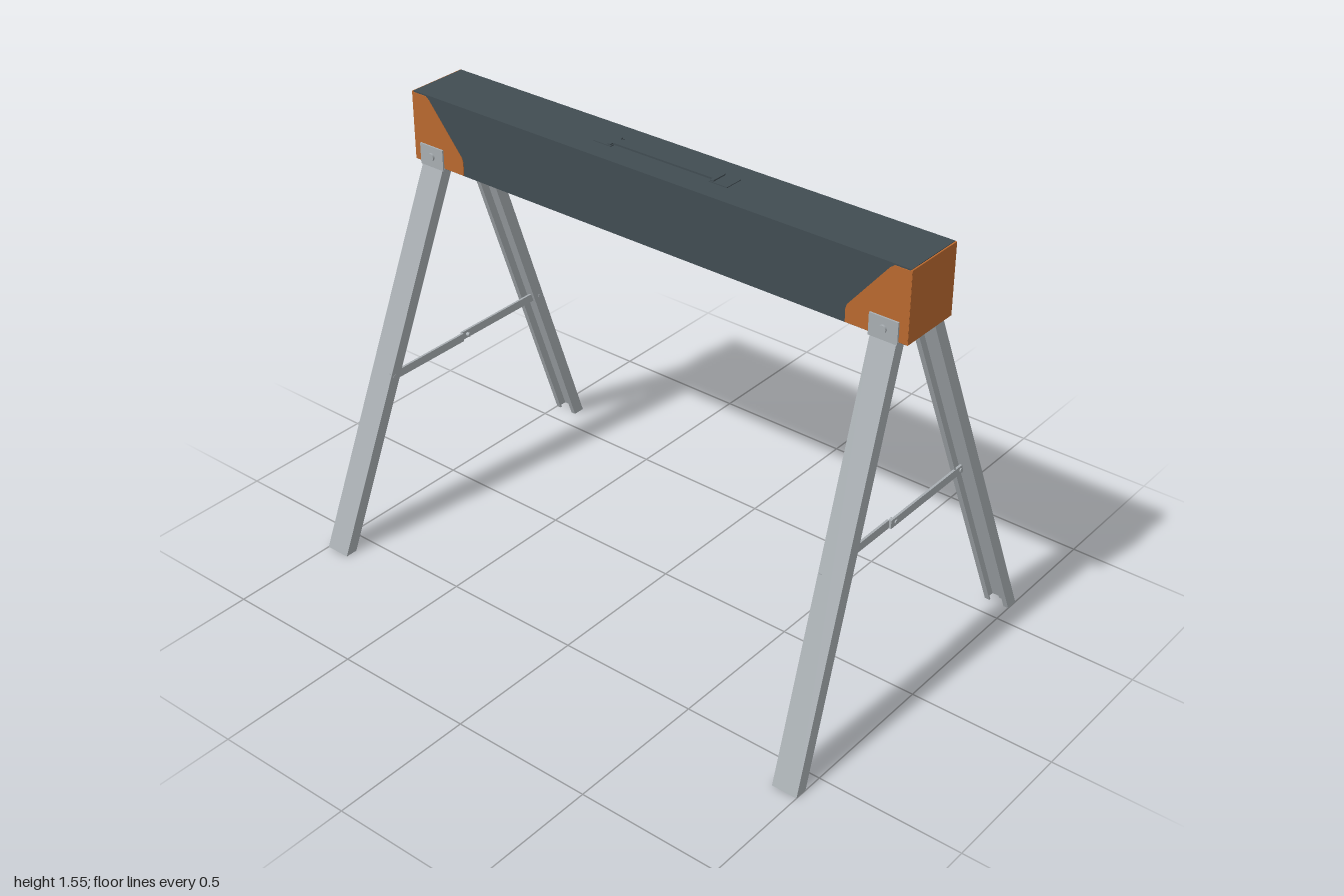
import * as THREE from 'three';

const paint = (name, color) => {
  const m = new THREE.MeshStandardMaterial({ color });
  m.name = name;
  return m;
};

export function createModel() {
  const model = new THREE.Group();
  model.name = 'sawhorse';
  const slate = paint('slate', 0x414c52);
  const orange = paint('orange', 0xb9692f);
  const steel = paint('steel', 0xa8aeb2);

  const add = (parent, name, geometry, material, x = 0, y = 0, z = 0) => {
    const mesh = new THREE.Mesh(geometry, material);
    mesh.name = name;
    mesh.position.set(x, y, z);
    parent.add(mesh);
    return mesh;
  };
  const box = (parent, name, mat, w, h, d, x, y, z) =>
    add(parent, name, new THREE.BoxGeometry(w, h, d), mat, x, y, z);
  const extrude = (points, depth) => new THREE.ExtrudeGeometry(
    new THREE.Shape(points.map(([x, y]) => new THREE.Vector2(x, y))), { depth, bevelEnabled: false });
  // mirrors half a profile across its upright axis
  const mirrored = (half) => [...half, ...half.map(([x, y]) => [-x, y]).reverse()];

  // Hollow beam, open underneath between two folded lips
  const beamProfile = mirrored([[0.11, 1.545], [0.11, 1.303], [0.058, 1.303], [0.058, 1.335],
    [0.064, 1.335], [0.064, 1.311], [0.102, 1.311], [0.102, 1.537]]);
  const beam = extrude(beamProfile, 1.92).translate(0, 0, -0.96).rotateY(Math.PI / 2);
  add(model, 'beam', beam, slate);

  // Carrying handle lying on the top
  const handle = new THREE.Group();
  handle.name = 'handle';
  model.add(handle);
  box(handle, 'handleStrap', slate, 0.4, 0.006, 0.034, 0, 1.549, 0);
  for (const s of [-1, 1]) {
    box(handle, 'handlePlate', slate, 0.07, 0.003, 0.066, s * 0.225, 1.5462, 0);
    box(handle, 'handleLoop', slate, 0.012, 0.006, 0.06, s * 0.2, 1.549, 0);
  }

  // Channel section of a leg: web outside, flanges and lips facing inwards
  const legProfile = mirrored([[0.045, 0], [0.045, 0.045], [0.027, 0.045], [0.027, 0.039],
    [0.039, 0.039], [0.039, 0.006], [0.014, 0.006], [0.009, 0.014]]);
  const legHeight = 1.305;

  function makeLeg(sx) {
    const leg = new THREE.Group();
    leg.name = 'leg';
    // upright channel, sheared so it splays in both directions
    const channel = extrude(legProfile, legHeight).rotateX(-Math.PI / 2);
    const p = channel.attributes.position;
    for (let i = 0; i < p.count; i++) {
      const t = p.getY(i) / legHeight;
      p.setX(i, p.getX(i) + sx * (0.955 - 0.07 * t));
      p.setZ(i, p.getZ(i) + 0.615 - 0.5 * t);
    }
    channel.computeVertexNormals();
    add(leg, 'legChannel', channel, steel);
    // hinge bracket wrapped round the lower edge of the beam
    const x = sx * 0.885;
    box(leg, 'bracketPlate', steel, 0.1, 0.068, 0.006, x, 1.337, 0.117);
    box(leg, 'bracketBase', steel, 0.1, 0.005, 0.07, x, 1.3005, 0.085);
    box(leg, 'bracketInside', steel, 0.1, 0.055, 0.005, x, 1.326, 0.0525);
    const bolt = new THREE.CylinderGeometry(0.013, 0.013, 0.008, 16).rotateX(Math.PI / 2);
    add(leg, 'bolt', bolt, steel, x, 1.335, 0.123);
    return leg;
  }

  for (const s of [-1, 1]) {
    // Front and back legs of this end; the back one is turned half round
    const front = makeLeg(s);
    front.name = 'frontLeg';
    const back = makeLeg(-s);
    back.name = 'backLeg';
    back.rotation.y = Math.PI;
    model.add(front, back);

    // Orange end cap and its two slanted cheeks
    const cap = new THREE.Group();
    cap.name = 'endCap';
    model.add(cap);
    box(cap, 'endPlate', orange, 0.006, 0.238, 0.224, s * 0.962, 1.424, 0);
    const outline = [[0.964, 1.305], [0.964, 1.54], [0.905, 1.54], [0.89, 1.528], [0.755, 1.365],
      [0.75, 1.35], [0.75, 1.305]].map(([x, y]) => [s * x, y]);
    for (const z of [0.1085, -0.1125])
      add(cap, 'capCheek', extrude(outline, 0.004), orange, 0, 0, z);

    // Folding brace: two overlapping bars with a pivot in the middle
    const brace = new THREE.Group();
    brace.name = 'brace';
    model.add(brace);
    box(brace, 'braceFront', steel, 0.008, 0.03, 0.35, s * 0.884, 0.615, 0.2);
    box(brace, 'braceBack', steel, 0.008, 0.03, 0.4, s * 0.892, 0.615, -0.175);
    for (const z of [-0.36, 0, 0.36]) {
      const pin = new THREE.CylinderGeometry(0.007, 0.007, 0.024, 12).rotateZ(Math.PI / 2);
      add(brace, 'bracePin', pin, steel, s * 0.888, 0.615, z);
    }
  }
  return model;
}
